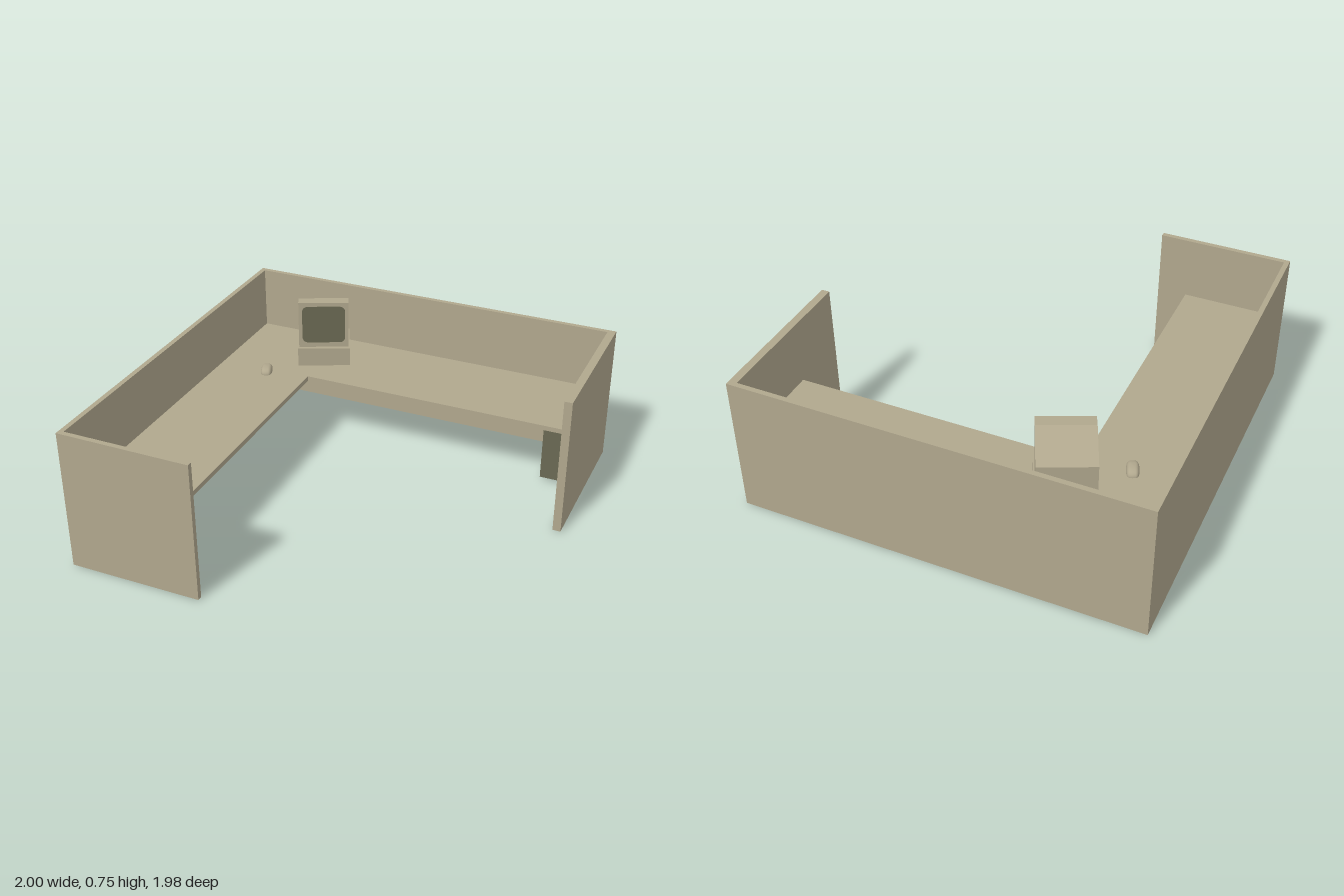
import * as THREE from 'three';

const beige = new THREE.MeshStandardMaterial({ color: 0xb0a78d });
beige.name = 'beige';
const darkOlive = new THREE.MeshStandardMaterial({ color: 0x6a6953 });
darkOlive.name = 'dark olive';

const WALL_H = 0.71;
const DESK_TOP = 0.385;

function mesh(name, geometry, material) {
  const m = new THREE.Mesh(geometry, material);
  m.name = name;
  return m;
}

// Upright slab from a floor-plan outline of [x, z] points
function planSlab(points, y0, y1) {
  const shape = new THREE.Shape(points.map(([x, z]) => new THREE.Vector2(x, -z)));
  const geo = new THREE.ExtrudeGeometry(shape, { depth: y1 - y0, bevelEnabled: false });
  return geo.rotateX(-Math.PI / 2).translate(0, y0, 0);
}

// Side profile of [z, y] points extruded across the width
function sideProfile(points, width) {
  const shape = new THREE.Shape(points.map(([z, y]) => new THREE.Vector2(z, y)));
  const geo = new THREE.ExtrudeGeometry(shape, { depth: width, bevelEnabled: false });
  return geo.translate(0, 0, -width / 2).rotateY(-Math.PI / 2);
}

function roundedRect(w, h, r) {
  const s = new THREE.Shape();
  const corners = [[1, 1, 0], [-1, 1, 1], [-1, -1, 2], [1, -1, 3]];
  for (const [sx, sy, q] of corners) {
    s.absarc(sx * (w / 2 - r), sy * (h / 2 - r), r, q * Math.PI / 2, (q + 1) * Math.PI / 2, false);
  }
  return s;
}

function createMonitor() {
  const g = new THREE.Group();
  g.name = 'monitor';

  const base = mesh('computerCase', new THREE.BoxGeometry(0.275, 0.1, 0.24), beige);
  base.position.y = 0.05;

  // Narrow gap between case and head
  const neck = mesh('monitorNeck', new THREE.BoxGeometry(0.22, 0.012, 0.18), beige);
  neck.position.y = 0.104;

  // Head with a flat front rim and a sloping back
  const head = mesh('monitorHead', sideProfile(
    [[0.114, 0.108], [0.114, 0.362], [0.055, 0.362], [-0.118, 0.28], [-0.118, 0.108]], 0.262), beige);

  const screen = mesh('screen', new THREE.ExtrudeGeometry(roundedRect(0.225, 0.205, 0.03),
    { depth: 0.003, bevelEnabled: false, curveSegments: 6 }), darkOlive);
  screen.position.set(0, 0.238, 0.114);

  g.add(base, neck, head, screen);
  g.position.set(-0.51, DESK_TOP, -0.737);
  g.rotation.y = 0.43;
  return g;
}

// Smooth domed mouse: a sphere squared off in plan, with a flat bottom
function createMouse() {
  const geo = new THREE.SphereGeometry(1, 24, 16);
  const p = geo.attributes.position;
  const square = (v, e) => Math.sign(v) * Math.pow(Math.abs(v), e);
  for (let i = 0; i < p.count; i++) {
    p.setXYZ(i, square(p.getX(i), 0.55) * 0.03,
      Math.max(0, p.getY(i)) * 0.03, square(p.getZ(i), 0.75) * 0.053);
  }
  geo.computeVertexNormals();
  const m = mesh('mouse', geo, beige);
  m.position.set(-0.713, DESK_TOP, -0.45);
  m.rotation.y = 0.36;
  return m;
}

export function createModel() {
  const group = new THREE.Group();
  group.name = 'cubicleDesk';

  // Partition walls around the workspace
  group.add(mesh('partitionWalls', planSlab([
    [-1, -0.99], [1, -0.99], [1, -0.18], [0.96, -0.18], [0.96, -0.965], [-0.975, -0.965],
    [-0.975, 0.965], [-0.335, 0.965], [-0.335, 0.99], [-1, 0.99],
  ], 0, WALL_H), beige));

  // L-shaped worktop
  group.add(mesh('worktop', planSlab([
    [-0.975, -0.965], [0.96, -0.965], [0.96, -0.48], [-0.485, -0.48],
    [-0.485, 0.965], [-0.975, 0.965],
  ], 0.36, DESK_TOP), beige));

  // Drawer cabinet under the far end of the worktop
  const cabinet = mesh('cabinet', new THREE.BoxGeometry(0.19, 0.345, 0.37), darkOlive);
  cabinet.position.set(0.865, 0.1875, -0.78);
  group.add(cabinet);

  group.add(createMonitor(), createMouse());
  return group;
}
